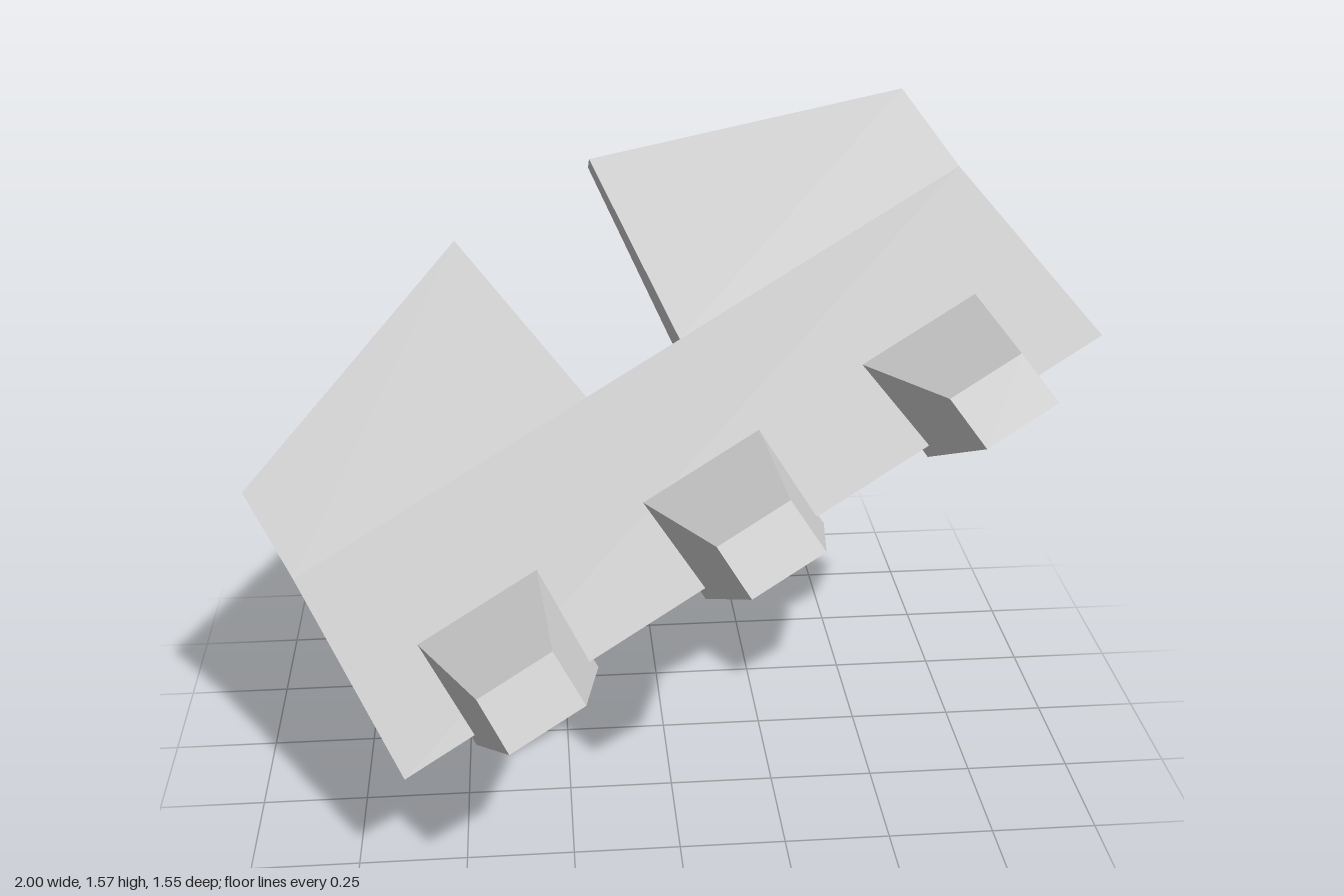
import * as THREE from 'three';

const material = new THREE.MeshStandardMaterial({ color: 0xcccccc, flatShading: true, side: THREE.DoubleSide });

// Six-sided block: corner(sx, sy, sz) gives the place of each corner, signs are -1 or 1
function block(name, corner) {
  const geometry = new THREE.BoxGeometry(2, 2, 2);
  const p = geometry.attributes.position;
  for (let i = 0; i < p.count; i++) {
    p.setXYZ(i, ...corner(Math.sign(p.getX(i)), Math.sign(p.getY(i)), Math.sign(p.getZ(i))));
  }
  geometry.computeVertexNormals();
  const mesh = new THREE.Mesh(geometry, material);
  mesh.name = name;
  return mesh;
}

// Front and back surfaces of the tapering slab at height y
const FOLD = 0.52;
const frontZ = (y) => (y < FOLD ? -0.4 * y : -0.208 - 0.2 * (y - FOLD));
const backZ = (y) => (y < FOLD ? -0.322 - 0.092 * y : -0.37 - 0.055 * (y - FOLD));
const slabZ = (y, sz) => (sz > 0 ? frontZ(y) : backZ(y));

export function createModel() {
  const root = new THREE.Group();
  root.name = 'model';
  const tilted = new THREE.Group();
  tilted.name = 'tiltedBody';
  tilted.position.set(0.19, 0.725, 0.386);
  tilted.rotation.set(-Math.PI / 6, 0, Math.PI / 6);
  root.add(tilted);

  // Main slab, thick along the lower edge
  tilted.add(block('slab', (sx, sy, sz) => {
    const y = sy > 0 ? FOLD : 0;
    return [sx * 0.935, y, slabZ(y, sz)];
  }));

  for (const side of [-1, 1]) {
    const label = side > 0 ? 'left' : 'right';

    // Upper wing with a sloping top, leaving a notch in the middle
    tilted.add(block(label + 'Wing', (sx, sy, sz) => {
      const outer = sx * side > 0;
      const y = sy < 0 ? FOLD : outer ? 0.76 : 1.02;
      const x = outer ? 0.935 : sy < 0 ? 0.131 : 0.193;
      return [side * x, y, slabZ(y, sz)];
    }));

    // Tapered leg out of the back
    tilted.add(block(label + 'Leg', (sx, sy, sz) => {
      const x = side * 0.538 + sx * 0.135;
      if (sz < 0) return [x, sy > 0 ? 0.303 : 0.09, -0.998];
      const y = sy > 0 ? 0.515 : 0.045;
      return [x, y, backZ(y) + 0.01];
    }));
  }

  // Three tapered studs on the front
  for (let i = -1; i <= 1; i++) {
    tilted.add(block('stud' + (i + 2), (sx, sy, sz) => {
      const x = i * 0.605;
      return sz > 0
        ? [x + sx * 0.095, sy > 0 ? 0.07 : -0.063, sy > 0 ? 0.172 : 0.21]
        : [x + sx * 0.16, sy > 0 ? 0.24 : -0.022, sy > 0 ? -0.1 : -0.03];
    }));
  }
  return root;
}
